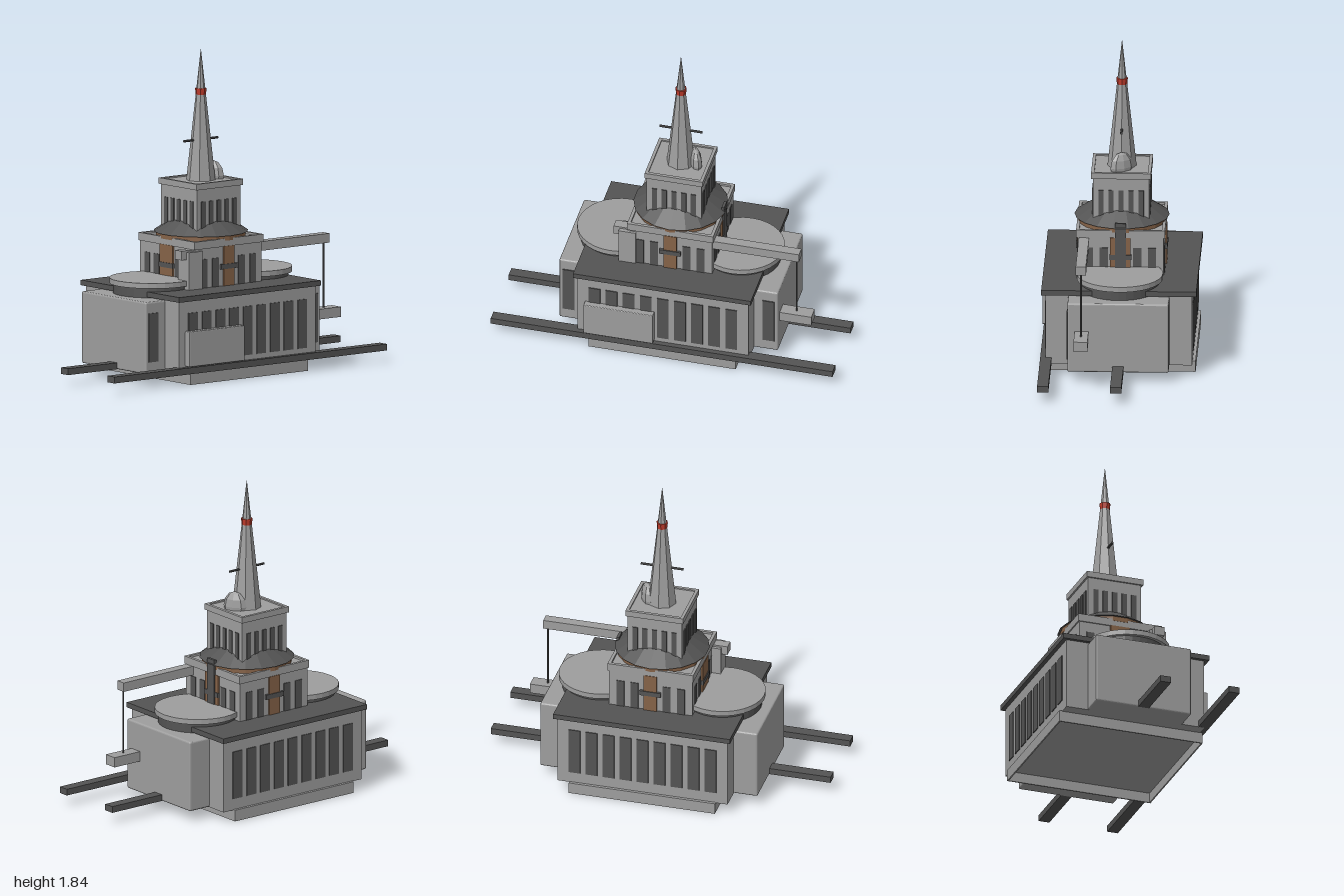
import * as THREE from 'three';
import { RoundedBoxGeometry } from 'three/addons/geometries/RoundedBoxGeometry.js';

const mat = (name, color) => {
  const m = new THREE.MeshStandardMaterial({ color, flatShading: true });
  m.name = name;
  return m;
};

export function createModel() {
  const stone = mat('stone', 0x9e9e9e);
  const dark = mat('dark slate', 0x545454);
  const bronze = mat('bronze', 0x866348);
  const red = mat('red', 0xc03c2c);

  const root = new THREE.Group();
  root.name = 'spiredStation';
  const body = new THREE.Group();
  body.name = 'building';
  body.position.z = -0.006;
  root.add(body);

  const add = (name, geo, m, x = 0, y = 0, z = 0, parent = body) => {
    const mesh = new THREE.Mesh(geo, m);
    mesh.name = name;
    mesh.position.set(x, y, z);
    parent.add(mesh);
    return mesh;
  };
  // Box given by its minimum and maximum on each axis
  const box = (name, m, x0, x1, y0, y1, z0, z1, parent = body) =>
    add(name, new THREE.BoxGeometry(x1 - x0, y1 - y0, z1 - z0), m,
      (x0 + x1) / 2, (y0 + y1) / 2, (z0 + z1) / 2, parent);
  // Rectangular ring with walls of thickness t, standing from y0 to y1
  const frame = (name, m, hx, hz, t, y0, y1) => {
    const rect = (P, x, z) => new P([[-x, -z], [x, -z], [x, z], [-x, z]].map((p) => new THREE.Vector2(...p)));
    const shape = rect(THREE.Shape, hx, hz);
    shape.holes.push(rect(THREE.Path, hx - t, hz - t));
    const geo = new THREE.ExtrudeGeometry(shape, { depth: y1 - y0, bevelEnabled: false });
    add(name, geo.rotateX(-Math.PI / 2), m, 0, y0, 0);
  };
  // Groups turned to face each listed quarter turn (0 front, 1 left, 2 back, 3 right)
  const sides = (name, turns, build) => turns.forEach((t) => {
    const g = new THREE.Group();
    g.name = name;
    g.rotation.y = t * Math.PI / 2;
    build(g, t);
    body.add(g);
  });

  // Plinth, hollow underneath
  frame('plinthWalls', stone, 0.43, 0.433, 0.008, 0, 0.066);
  box('plinthTop', stone, -0.428, 0.428, 0.058, 0.066, -0.431, 0.431);

  // Main hall, windows front and back, roof slab
  box('hall', stone, -0.5, 0.5, 0.063, 0.48, -0.416, 0.416);
  sides('hallWindows', [0, 2], (g) => {
    for (let i = -4; i <= 4; i++) {
      const x = i * 0.1;
      box('hallWindow', dark, x - 0.034, x + 0.034, 0.13, 0.41, 0.414, 0.421, g);
    }
  });
  box('hallRoof', dark, -0.52, 0.52, 0.48, 0.51, -0.44, 0.44);

  // Side wings with round roofs
  for (const s of [-1, 1]) {
    add('wing', new RoundedBoxGeometry(0.34, 0.412, 0.574, 2, 0.01), stone, s * 0.47, 0.269, 0);
    box('wingWindow', dark, s * 0.585 - 0.035, s * 0.585 + 0.035, 0.13, 0.41, 0.285, 0.293);
    add('roundRoofBase', new THREE.CylinderGeometry(0.225, 0.225, 0.065, 32), dark, s * 0.355, 0.503, 0);
    add('roundRoof', new THREE.CylinderGeometry(0.245, 0.245, 0.03, 32), stone, s * 0.355, 0.546, 0);
  }

  // Front sign box
  add('signBox', new RoundedBoxGeometry(0.406, 0.203, 0.05, 2, 0.006), stone, -0.253, 0.207, 0.43);

  // Rails
  box('middleRail', dark, -1, 1, 0.064, 0.101, -0.032, 0.032);
  box('frontRail', dark, -1, 1, 0.064, 0.101, 0.382, 0.446);

  // Lower tower tier with a rimmed cornice
  box('lowerTower', stone, -0.245, 0.245, 0.5, 0.768, -0.245, 0.245);
  frame('lowerCornice', stone, 0.252, 0.252, 0.018, 0.735, 0.78);
  sides('lowerTowerFace', [0, 1, 2, 3], (g, t) => {
    for (const x of [-0.178, -0.095, 0.095, 0.178])
      box('lowerWindow', dark, x - 0.023, x + 0.023, 0.51, 0.675, 0.243, 0.249, g);
    const w = t % 2 ? 0.058 : 0.038;
    box('bronzePanel', bronze, -w, w, 0.51, 0.737, 0.243, 0.255, g);
    box('panelBar', dark, -0.062, 0.062, 0.607, 0.635, 0.244, 0.26, g);
  });
  box('sidePost', dark, 0.245, 0.261, 0.55, 0.825, -0.032, 0.032);

  // Shallow round roof between the tiers
  add('bronzeRing', new THREE.CylinderGeometry(0.257, 0.257, 0.03, 18), bronze, 0, 0.783, 0);
  add('towerRoof', new THREE.CylinderGeometry(0.15, 0.27, 0.08, 18), dark, 0, 0.836, 0);

  // Upper tower tier with a rimmed cornice
  box('upperTower', stone, -0.16, 0.16, 0.8, 1.087, -0.16, 0.16);
  frame('upperCornice', stone, 0.17, 0.17, 0.018, 1.06, 1.095);
  sides('upperTowerFace', [0, 1, 2, 3], (g) => {
    for (let i = -2; i <= 2; i++) {
      const x = i * 0.057;
      box('upperWindow', dark, x - 0.015, x + 0.015, 0.83, 0.99, 0.158, 0.165, g);
    }
  });

  // Spire, red collar and crossbar
  add('spire', new THREE.CylinderGeometry(0.001, 0.083, 0.75, 8), stone, 0, 1.46, 0);
  add('spireCollar', new THREE.CylinderGeometry(0.033, 0.028, 0.048, 8), red, 0, 1.588, 0);
  const bar = add('spireCrossbar', new THREE.CylinderGeometry(0.007, 0.007, 0.25, 8), dark, 0, 1.318, 0);
  bar.rotation.z = Math.PI / 2;

  // Faceted cocoon beside the spire
  const cocoon = add('cocoon', new THREE.SphereGeometry(1, 8, 6), stone, 0.085, 1.105, 0);
  cocoon.scale.set(0.036, 0.088, 0.07);
  cocoon.rotation.y = 0.5;

  // Crane with hanging load
  box('craneMast', stone, -0.3, -0.2, 0.51, 0.725, 0.16, 0.26);
  box('craneBoom', stone, -0.335, 0.75, 0.682, 0.735, 0.178, 0.236);
  add('craneCable', new THREE.CylinderGeometry(0.005, 0.005, 0.385, 6), dark, 0.73, 0.495, 0.207);
  box('craneLoad', stone, 0.64, 0.825, 0.25, 0.308, 0.167, 0.246);

  return root;
}
